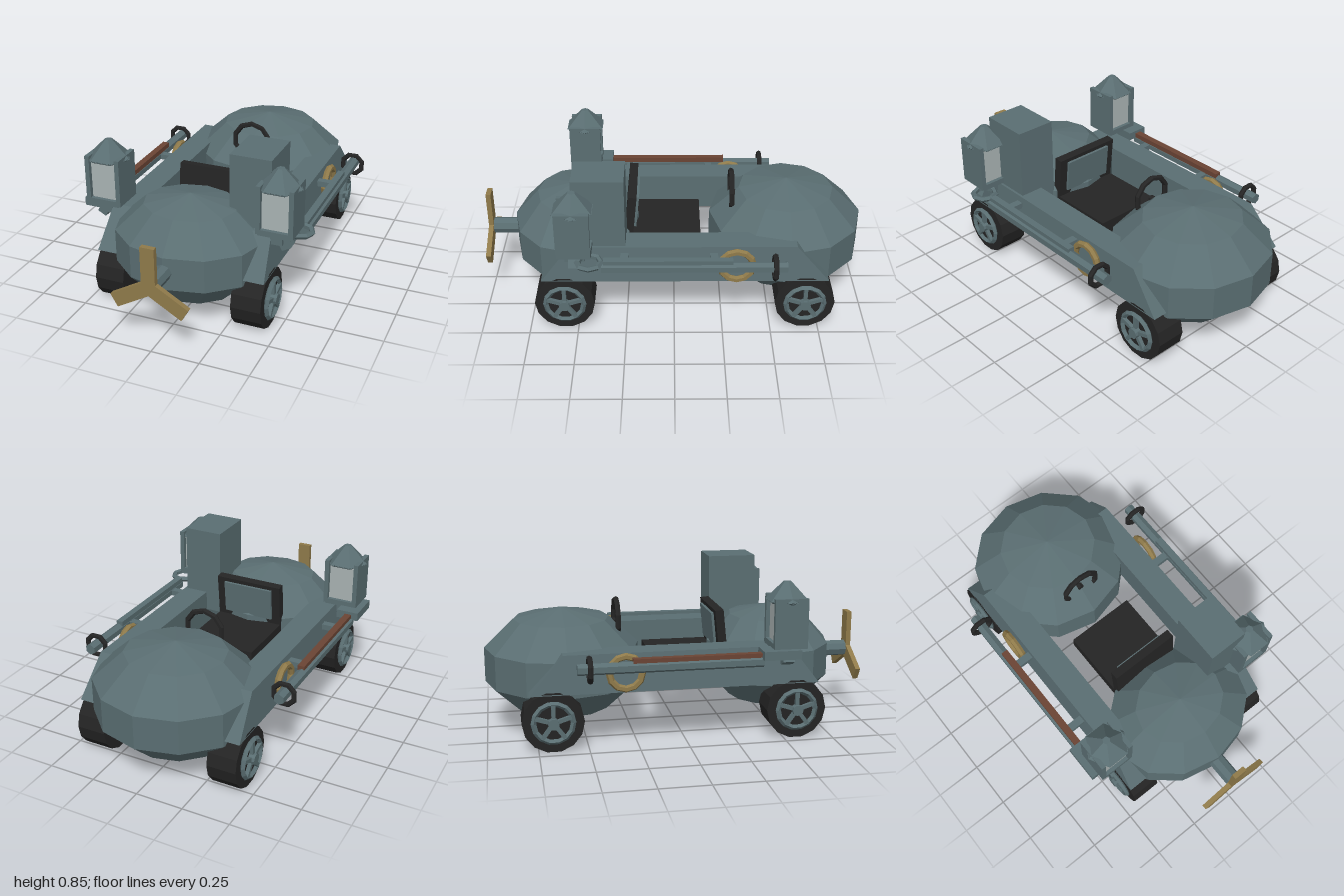
import * as THREE from 'three';

const mat = (name, color) => {
  const m = new THREE.MeshStandardMaterial({ color, flatShading: true });
  m.name = name;
  return m;
};

export function createModel() {
  const model = new THREE.Group();
  model.name = 'buggy';
  const steel = mat('steel', 0x5a6e72);
  const black = mat('black', 0x242424);
  const brass = mat('brass', 0x8f7a4a);
  const wood = mat('wood', 0x6b4434);
  const glass = mat('glass', 0xa9b3b3);

  const add = (name, geo, material, x = 0, y = 0, z = 0, parent = model) => {
    const mesh = new THREE.Mesh(geo, material);
    mesh.name = name;
    mesh.position.set(x, y, z);
    parent.add(mesh);
    return mesh;
  };
  const box = (name, material, x0, x1, y0, y1, z0, z1, parent = model) =>
    add(name, new THREE.BoxGeometry(x1 - x0, y1 - y0, z1 - z0), material,
      (x0 + x1) / 2, (y0 + y1) / 2, (z0 + z1) / 2, parent);

  // Faceted front and rear pods
  const pod = (name, y, z, rx, ry, rz) =>
    add(name, new THREE.SphereGeometry(1, 12, 5).scale(rx, ry, rz), steel, 0, y, z);
  pod('frontPod', 0.345, 0.52, 0.41, 0.278, 0.347);
  pod('rearPod', 0.352, -0.595, 0.442, 0.292, 0.426);

  // Wheel: tyre, rim, five spokes and hub, facing +x
  const wheel = (side, z, name) => {
    const g = new THREE.Group();
    g.name = name;
    g.position.set(side * 0.367, 0.155, z);
    if (side < 0) g.rotation.y = Math.PI;
    add('tyre', new THREE.CylinderGeometry(0.155, 0.155, 0.155, 14).rotateZ(Math.PI / 2), black, 0, 0, 0, g);
    add('rim', new THREE.TorusGeometry(0.098, 0.014, 4, 14).rotateY(Math.PI / 2), steel, 0.085, 0, 0, g);
    for (let i = 0; i < 5; i++) {
      const spoke = new THREE.BoxGeometry(0.024, 0.09, 0.02).translate(0, 0.05, 0).rotateX(i * Math.PI * 0.4);
      add('spoke', spoke, steel, 0.085, 0, 0, g);
    }
    add('hub', new THREE.CylinderGeometry(0.028, 0.028, 0.04, 10).rotateZ(Math.PI / 2), steel, 0.092, 0, 0, g);
    model.add(g);
  };

  // Lantern: base, side plates, glass and hexagonal roof
  const lantern = (side) => {
    const g = new THREE.Group();
    g.name = 'lantern';
    g.position.set(side * 0.455, 0, 0.495);
    box('base', steel, -0.085, 0.085, 0.495, 0.525, -0.085, 0.085, g);
    box('glassPane', glass, -0.07, 0.07, 0.525, 0.725, -0.065, 0.065, g);
    for (const s of [-1, 1])
      add('sidePlate', new THREE.BoxGeometry(0.024, 0.25, 0.17), steel, s * 0.083, 0.625, 0, g);
    add('roof', new THREE.CylinderGeometry(0.02, 0.113, 0.095, 6).rotateY(Math.PI / 6 * 3), steel, 0, 0.777, 0, g);
    add('roofPlate', new THREE.CylinderGeometry(0.113, 0.1, 0.012, 6).rotateY(Math.PI / 2), steel, 0, 0.727, 0, g);
    box('bracket', steel, -0.03, 0.03, 0.44, 0.5, -0.05, 0.05, g);
    const strut = box('strut', steel, 0.0, 0.05, 0.41, 0.5, -0.03, 0.03, g);
    strut.position.x *= side;
    strut.rotation.z = side * 0.5;
    model.add(g);
  };

  // Side beam with sloping ends and slightly narrower top
  const beamGeometry = (side) => {
    const geo = new THREE.BoxGeometry(1, 1, 1);
    const p = geo.attributes.position;
    for (let i = 0; i < p.count; i++) {
      const top = p.getY(i) > 0, front = p.getZ(i) > 0;
      const outer = p.getX(i) * side > 0;
      const x = outer ? (top ? 0.425 : 0.445) : 0.288;
      p.setXYZ(i, side * x, top ? 0.487 : 0.292,
        front ? (top ? 0.53 : 0.68) : (top ? -0.62 : -0.79));
    }
    return geo;
  };

  for (const side of [-1, 1]) {
    add('sideBeam', beamGeometry(side), steel);
    wheel(side, 0.565, 'frontWheel');
    wheel(side, -0.675, 'rearWheel');
    lantern(side);

    // Brass ring on the beam
    add('brassRing', new THREE.TorusGeometry(0.083, 0.018, 6, 12).rotateY(Math.PI / 2), brass, side * 0.455, 0.395, -0.315);

    // Long side barrel with black collar and a strip along its top
    add('barrel', new THREE.CylinderGeometry(0.029, 0.029, 0.92, 6).rotateX(Math.PI / 2), steel, side * 0.535, 0.442, -0.1);
    add('barrelCollar', new THREE.TorusGeometry(0.057, 0.014, 6, 8).rotateZ(Math.PI / 8), black, side * 0.535, 0.44, -0.5);
    add('barrelStrip', new THREE.BoxGeometry(0.036, 0.04, 0.64), side < 0 ? wood : steel, side * 0.53, 0.465, 0.03);
    for (const z of [-0.2, 0.25])
      add('barrelMount', new THREE.BoxGeometry(0.12, 0.03, 0.04), steel, side * 0.47, 0.44, z);
  }

  // Differing front ends of the barrels
  box('barrelBlock', steel, -0.585, -0.465, 0.455, 0.5, 0.35, 0.54);
  add('barrelLoop', new THREE.TorusGeometry(0.06, 0.015, 5, 8).rotateX(Math.PI / 2), steel, 0.535, 0.472, 0.42);

  // Tall box beside the front pod
  box('tallBox', steel, 0.2, 0.412, 0.38, 0.855, 0.245, 0.505);

  // Propeller on its shaft
  add('propellerShaft', new THREE.CylinderGeometry(0.043, 0.043, 0.2, 8).rotateX(Math.PI / 2), steel, 0, 0.352, 0.875);
  for (let i = 0; i < 3; i++) {
    const blade = new THREE.BoxGeometry(0.072, 0.21, 0.026).translate(0, 0.105, 0).rotateZ(i * Math.PI * 2 / 3);
    add('propellerBlade', blade, brass, 0, 0.352, 0.987);
  }

  // Seat with a panel set on its back
  box('seatBase', black, -0.187, 0.187, 0.32, 0.4, -0.14, 0.27);
  const back = box('seatBack', black, -0.187, 0.187, 0.38, 0.632, 0.205, 0.25);
  back.rotation.x = -0.1;
  const panel = box('seatPanel', steel, -0.14, 0.14, 0.43, 0.608, 0.19, 0.215);
  panel.rotation.x = -0.1;

  // Steering wheel
  add('steeringWheel', new THREE.TorusGeometry(0.102, 0.015, 6, 10).rotateZ(Math.PI / 10), black, 0, 0.572, -0.305);
  add('steeringColumn', new THREE.CylinderGeometry(0.018, 0.018, 0.12, 6).rotateX(Math.PI / 2), black, 0, 0.555, -0.36);

  return model;
}
